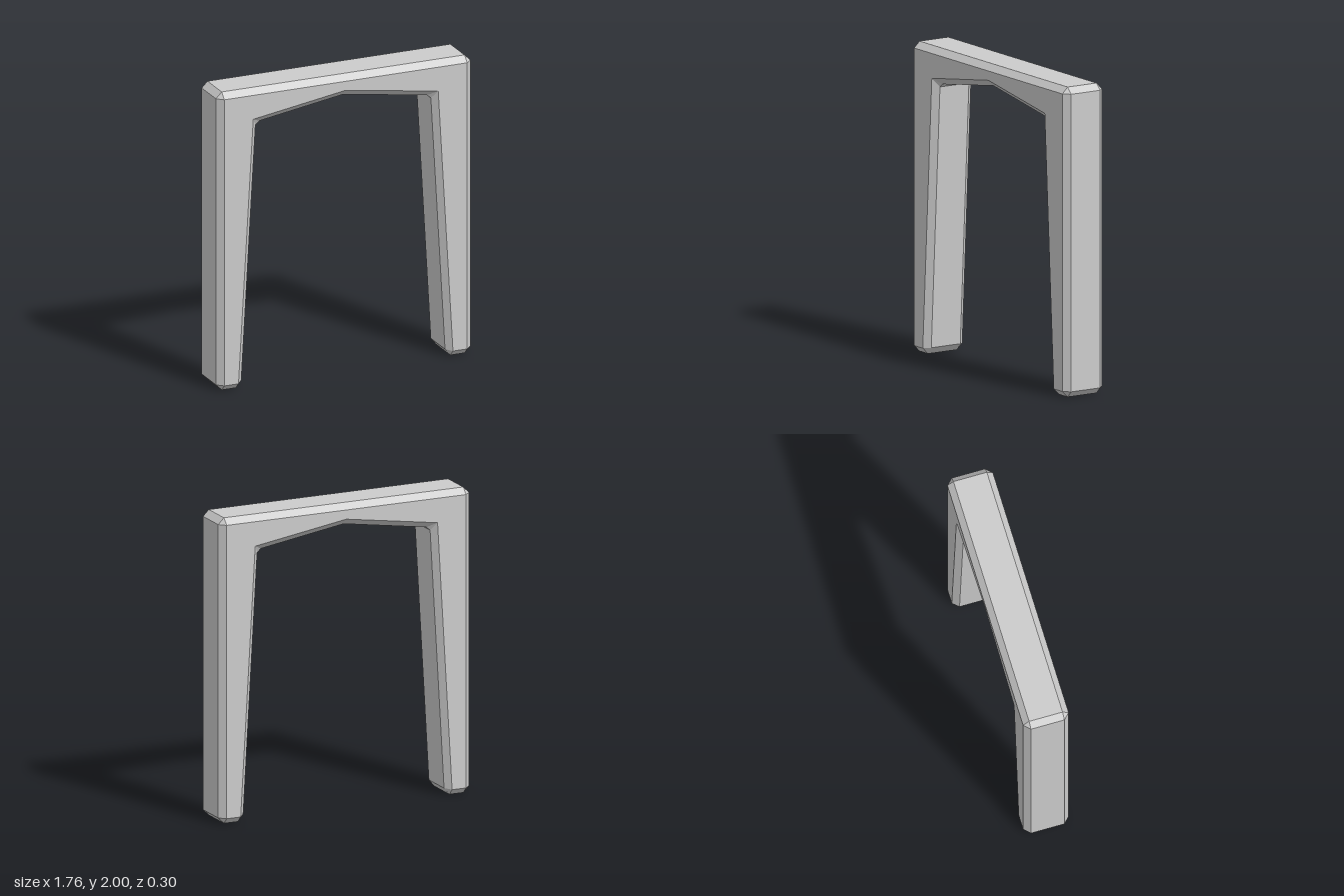
import * as THREE from 'three';

const FACE_Z = 0.15; // flat front and back faces
const RIM_Z = 0.11; // where the bevel meets the sides

// Corners of the +x half, apex first: face point, then the two rim points of the cut corner
const half = [
  { f: [0, 1.9], a: [0, 1.86], b: [0, 1.86] },
  { f: [0.64, 1.8], a: [0.58, 1.768], b: [0.607, 1.745] },
  { f: [0.742, 0.04], a: [0.705, 0.045], b: [0.742, 0] },
  { f: [0.84, 0.04], a: [0.84, 0], b: [0.88, 0.04] },
  { f: [0.84, 1.96], a: [0.88, 1.96], b: [0.84, 2] },
];

function archGeometry() {
  // Mirror the half outline into a full counter-clockwise loop
  const flip = ([x, y]) => [-x, y];
  const mirrored = half.slice(1).reverse().map(({ f, a, b }) => ({ f: flip(f), a: flip(b), b: flip(a) }));
  const loop = [...half, ...mirrored];

  const positions = [];
  const tri = (p, q, r) => positions.push(...p, ...q, ...r);
  const quad = (p, q, r, s) => { tri(p, q, r); tri(p, r, s); };
  const polygon = (pts, side) => {
    const p = side > 0 ? pts : [...pts].reverse();
    if (p.length === 3) tri(...p);
    else quad(...p);
  };

  // Front and back: flat face, bevel strips and corner triangles
  const caps = THREE.ShapeUtils.triangulateShape(loop.map(({ f }) => new THREE.Vector2(...f)), []);
  for (const side of [1, -1]) {
    const face = (p) => [...p, side * FACE_Z];
    const rim = (p) => [...p, side * RIM_Z];
    for (const ids of caps) polygon(ids.map((i) => face(loop[i].f)), side);
    loop.forEach((c, i) => {
      const n = loop[(i + 1) % loop.length];
      polygon([face(c.f), rim(c.b), rim(n.a), face(n.f)], side);
      if (c.a !== c.b && c.f[0] !== 0) polygon([face(c.f), rim(c.a), rim(c.b)], side);
    });
  }

  // Side walls and the cut corners between them
  const wall = (p, q) => quad([...p, RIM_Z], [...p, -RIM_Z], [...q, -RIM_Z], [...q, RIM_Z]);
  loop.forEach((c, i) => {
    wall(c.b, loop[(i + 1) % loop.length].a);
    if (c.f[0] !== 0) wall(c.a, c.b);
  });

  const geometry = new THREE.BufferGeometry();
  geometry.setAttribute('position', new THREE.Float32BufferAttribute(positions, 3));
  geometry.computeVertexNormals();
  return geometry;
}

export function createModel() {
  const group = new THREE.Group();
  group.name = 'archway';
  const material = new THREE.MeshStandardMaterial({ color: 0xcccccc, flatShading: true });
  const arch = new THREE.Mesh(archGeometry(), material);
  arch.name = 'bevelledArch';
  group.add(arch);
  return group;
}
